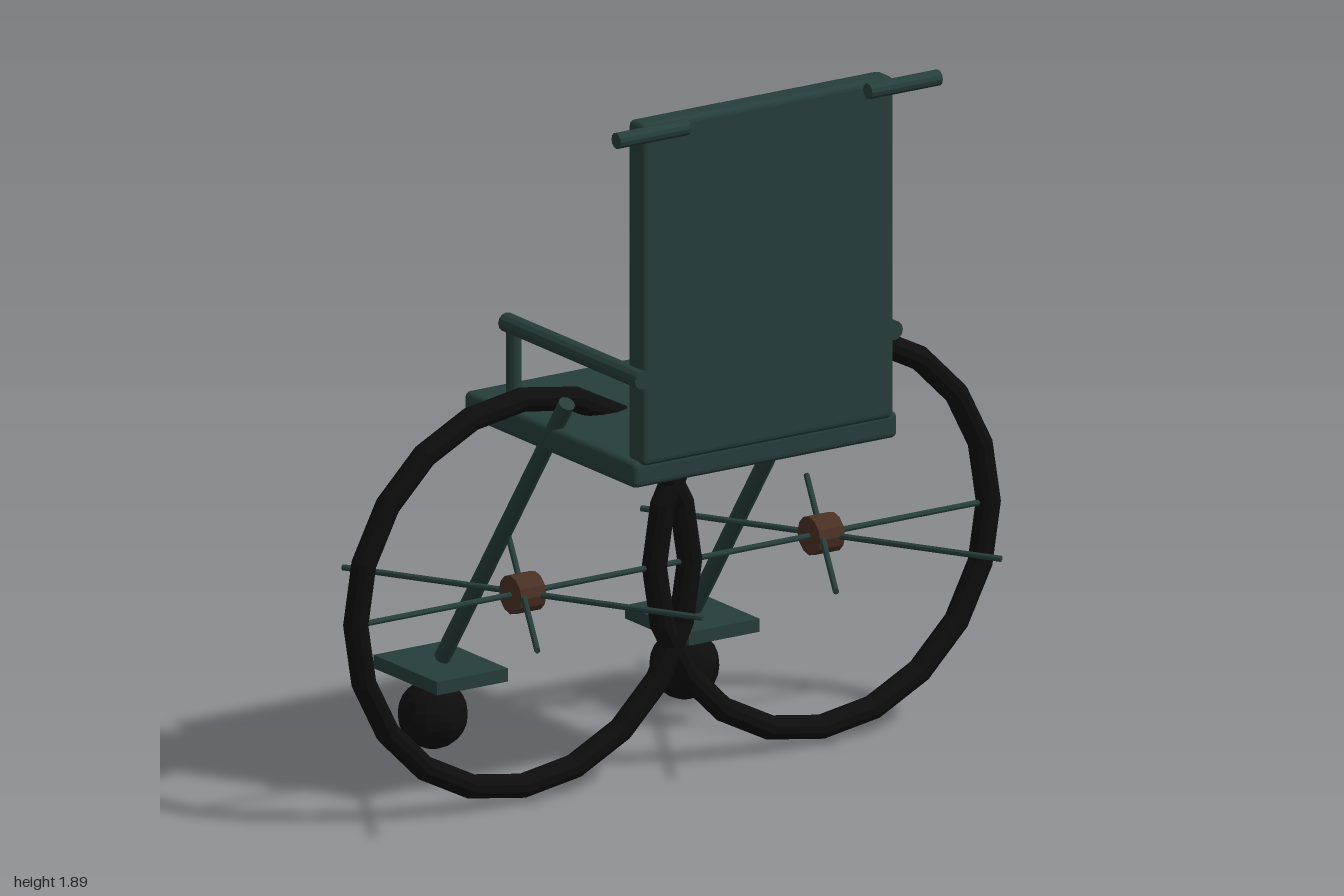
import * as THREE from 'three';
import { RoundedBoxGeometry } from 'three/addons/geometries/RoundedBoxGeometry.js';

function material(name, color) {
  const m = new THREE.MeshStandardMaterial({ color, flatShading: true });
  m.name = name;
  return m;
}

export function createModel() {
  const frame = material('dark teal', 0x263e3c);
  const rubber = material('black rubber', 0x0d0d0d);
  const hubBrown = material('hub brown', 0x4a3024);
  const model = new THREE.Group();
  model.name = 'wheelchair';

  function add(name, geometry, mat, x, y, z) {
    const mesh = new THREE.Mesh(geometry, mat);
    mesh.name = name;
    mesh.position.set(x, y, z);
    model.add(mesh);
    return mesh;
  }

  // Round bar between two points
  function bar(name, from, to, radius, mat = frame, sides = 12) {
    const a = new THREE.Vector3(...from);
    const b = new THREE.Vector3(...to);
    const dir = b.clone().sub(a);
    const mid = a.clone().add(b).multiplyScalar(0.5);
    const mesh = add(name, new THREE.CylinderGeometry(radius, radius, dir.length(), sides), mat, mid.x, mid.y, mid.z);
    mesh.quaternion.setFromUnitVectors(new THREE.Vector3(0, 1, 0), dir.normalize());
  }

  // Seat and backrest panels
  add('seat', new RoundedBoxGeometry(0.81, 0.07, 0.77, 2, 0.016), frame, 0, 0.957, 0.103);
  add('backrest', new RoundedBoxGeometry(0.77, 0.905, 0.072, 2, 0.016), frame, 0, 1.433, 0.464);

  for (const [side, s] of [['left', 1], ['right', -1]]) {
    const x = 0.385 * s;

    // Armrest with its front post, and the push handle
    bar(side + 'Armrest', [x, 1.212, 0.5], [x, 1.212, -0.117], 0.025);
    bar(side + 'ArmrestPost', [x, 0.97, -0.083], [x, 1.212, -0.083], 0.02);
    bar(side + 'PushHandle', [x - 0.108, 1.873, 0.537], [x + 0.108, 1.873, 0.537], 0.021);

    // Slanted leg, footplate and caster
    bar(side + 'Leg', [x, 1.064, 0.156], [x, 0.253, -0.404], 0.022);
    add(side + 'Footplate', new THREE.BoxGeometry(0.216, 0.035, 0.288), frame, x, 0.221, -0.413);
    add(side + 'Caster', new THREE.SphereGeometry(0.09, 16, 12), rubber, x, 0.092, -0.448);

    // Large wheel with hub
    const wx = 0.457 * s, wy = 0.553, wz = 0.063;
    add(side + 'Tire', new THREE.TorusGeometry(0.511, 0.032, 10, 20), rubber, wx, wy, wz);
    bar(side + 'Hub', [wx - 0.038, wy, wz], [wx + 0.038, wy, wz], 0.051, hubBrown);

    // Three through-spokes lying flat around the hub
    for (let i = 0; i < 3; i++) {
      const a = (i * Math.PI) / 3;
      const dx = 0.506 * Math.cos(a), dz = 0.506 * Math.sin(a);
      bar(side + 'Spoke' + (i + 1), [wx - dx, wy, wz - dz], [wx + dx, wy, wz + dz], 0.008, frame, 8);
    }
  }
  return model;
}
